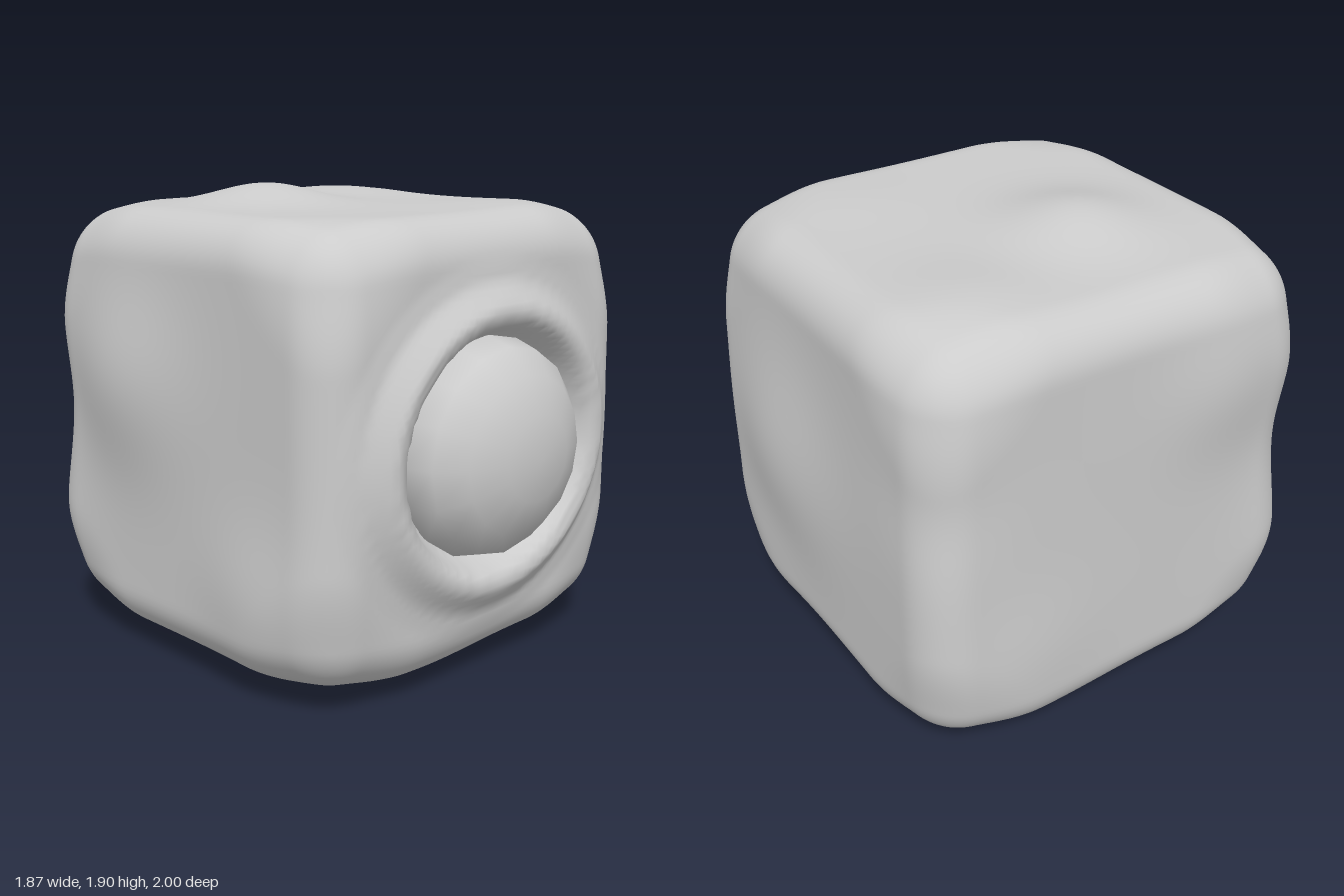
import * as THREE from 'three';
import { mergeVertices } from 'three/addons/utils/BufferGeometryUtils.js';

const CENTER = new THREE.Vector3(0, 0.965, -0.105);
const HALF = new THREE.Vector3(0.865, 0.87, 0.855);
const ROUND = 0.19;
const EYE_Y = 0.95;

// Soft swellings and dents: position, push direction, height, spread
const LUMPS = [
  [[-0.22, 1.84, -0.29], [0, 1, 0], 0.085, 0.2],
  [[0.45, 1.84, -0.58], [0, 1, 0], 0.035, 0.2],
  [[0.4, 1.84, 0.4], [0, 1, 0], 0.015, 0.2],
  [[0.2, 0.08, -0.52], [0, -1, 0], 0.08, 0.22],
  [[-0.2, 0.08, 0.35], [0, -1, 0], 0.05, 0.22],
  [[0.87, 0.95, 0.13], [1, 0, 0], 0.07, 0.28],
  [[0.87, 0.35, 0.4], [1, 0, 0], 0.028, 0.2],
  [[0.87, 1.7, 0], [-1, 0, 0], 0.015, 0.3],
  [[-0.87, 1.18, -0.4], [-1, 0, 0], 0.075, 0.25],
  [[-0.87, 0.42, 0.35], [-1, 0, 0], 0.038, 0.2],
  [[-0.43, 1.4, -0.96], [0, 0, -1], 0.04, 0.2],
  [[0.45, 0.45, -0.96], [0, 0, -1], 0.025, 0.22],
  [[-0.82, 0.5, -0.9], [-0.7, 0, -0.7], 0.03, 0.18],
  [[-0.82, 1.05, -0.9], [0.7, 0, 0.7], 0.03, 0.18],
  [[0.82, 1.25, -0.9], [-0.7, 0, 0.7], 0.03, 0.18],
].map(([p, d, h, s]) => ({ p: new THREE.Vector3(...p), d: new THREE.Vector3(...d), h, s }));

// Socket relief on the front: [radius, offset in z]
const SOCKET = [[0.4, -0.08], [0.44, -0.02], [0.48, 0.065], [0.54, 0.083], [0.58, 0.055], [0.64, 0.012], [0.72, 0]];

function socketRelief(r) {
  if (r <= SOCKET[0][0]) return SOCKET[0][1];
  for (let i = 1; i < SOCKET.length; i++) {
    const [r0, z0] = SOCKET[i - 1], [r1, z1] = SOCKET[i];
    if (r < r1) return THREE.MathUtils.mapLinear(r, r0, r1, z0, z1);
  }
  return 0;
}

// Rounded block with blunted corners, swollen by the lumps and dished at the front
function bodyGeometry() {
  const n = 64;
  let geo = new THREE.BoxGeometry(HALF.x * 2, HALF.y * 2, HALF.z * 2, n, n, n);
  geo.deleteAttribute('uv');
  geo.deleteAttribute('normal');
  geo = mergeVertices(geo, 1e-4);
  const inner = HALF.clone().subScalar(ROUND);
  const outer = inner.clone().negate();
  const pos = geo.attributes.position;
  const v = new THREE.Vector3(), core = new THREE.Vector3();
  for (let i = 0; i < pos.count; i++) {
    v.fromBufferAttribute(pos, i);
    core.copy(v).clamp(outer, inner);
    v.sub(core).setLength(ROUND).add(core);
    const corner = Math.abs(v.x * v.y * v.z) / (HALF.x * HALF.y * HALF.z);
    v.multiplyScalar(1 - 0.055 * THREE.MathUtils.smoothstep(corner, 0.35, 0.85)).add(CENTER);
    const base = v.clone();
    for (const { p, d, h, s } of LUMPS) {
      v.addScaledVector(d, h * Math.exp(-base.distanceToSquared(p) / (2 * s * s)));
    }
    if (base.z > 0.5) v.z += socketRelief(Math.hypot(base.x * 0.9, base.y - EYE_Y));
    pos.setXYZ(i, v.x, v.y, v.z);
  }
  geo.computeVertexNormals();
  return geo;
}

export function createModel() {
  const group = new THREE.Group();
  const material = new THREE.MeshStandardMaterial({ color: 0xcccccc });

  const body = new THREE.Mesh(bodyGeometry(), material);
  body.name = 'body';
  group.add(body);

  // Flattened ball with its pole facing forward
  const ball = new THREE.SphereGeometry(1, 16, 8).rotateX(Math.PI / 2);
  const eye = new THREE.Mesh(ball.scale(0.455, 0.435, 0.28), material);
  eye.name = 'eye';
  eye.position.set(0, EYE_Y, 0.72);
  group.add(eye);

  return group;
}
